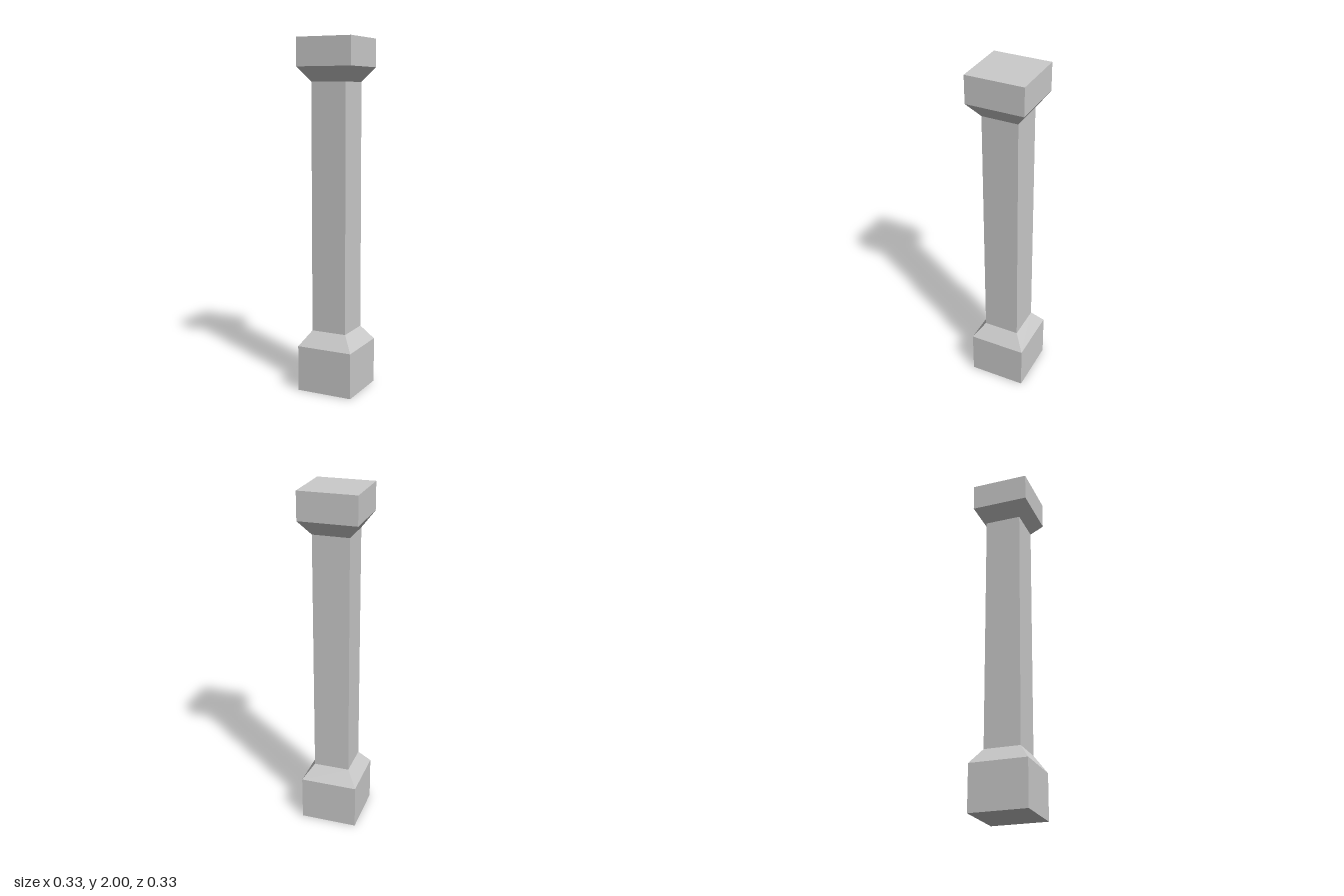
import * as THREE from 'three';

const BLOCK = 0.165; // half width of base and capital
const SHAFT = 0.104; // half width of shaft

export function createModel() {
  const group = new THREE.Group();
  group.name = 'squareColumn';
  const material = new THREE.MeshStandardMaterial({ color: 0xcccccc, flatShading: true });

  const add = (name, geometry, y0, y1) => {
    const mesh = new THREE.Mesh(geometry, material);
    mesh.name = name;
    mesh.position.y = (y0 + y1) / 2;
    group.add(mesh);
  };

  // Solid square block
  const block = (name, y0, y1) =>
    add(name, new THREE.BoxGeometry(BLOCK * 2, y1 - y0, BLOCK * 2), y0, y1);

  // Four-sided open sleeve, straight or tapered, with sides facing the axes
  const sleeve = (name, y0, y1, bottom, top) => {
    const geometry = new THREE.CylinderGeometry(
      top * Math.SQRT2, bottom * Math.SQRT2, y1 - y0, 4, 1, true);
    geometry.rotateY(Math.PI / 4);
    add(name, geometry, y0, y1);
  };

  block('baseBlock', 0, 0.262);
  sleeve('baseTaper', 0.262, 0.348, BLOCK, SHAFT);
  sleeve('shaft', 0.348, 1.76, SHAFT, SHAFT);
  sleeve('capitalFlare', 1.76, 1.842, SHAFT, BLOCK);
  block('capitalBlock', 1.842, 2);

  return group;
}
